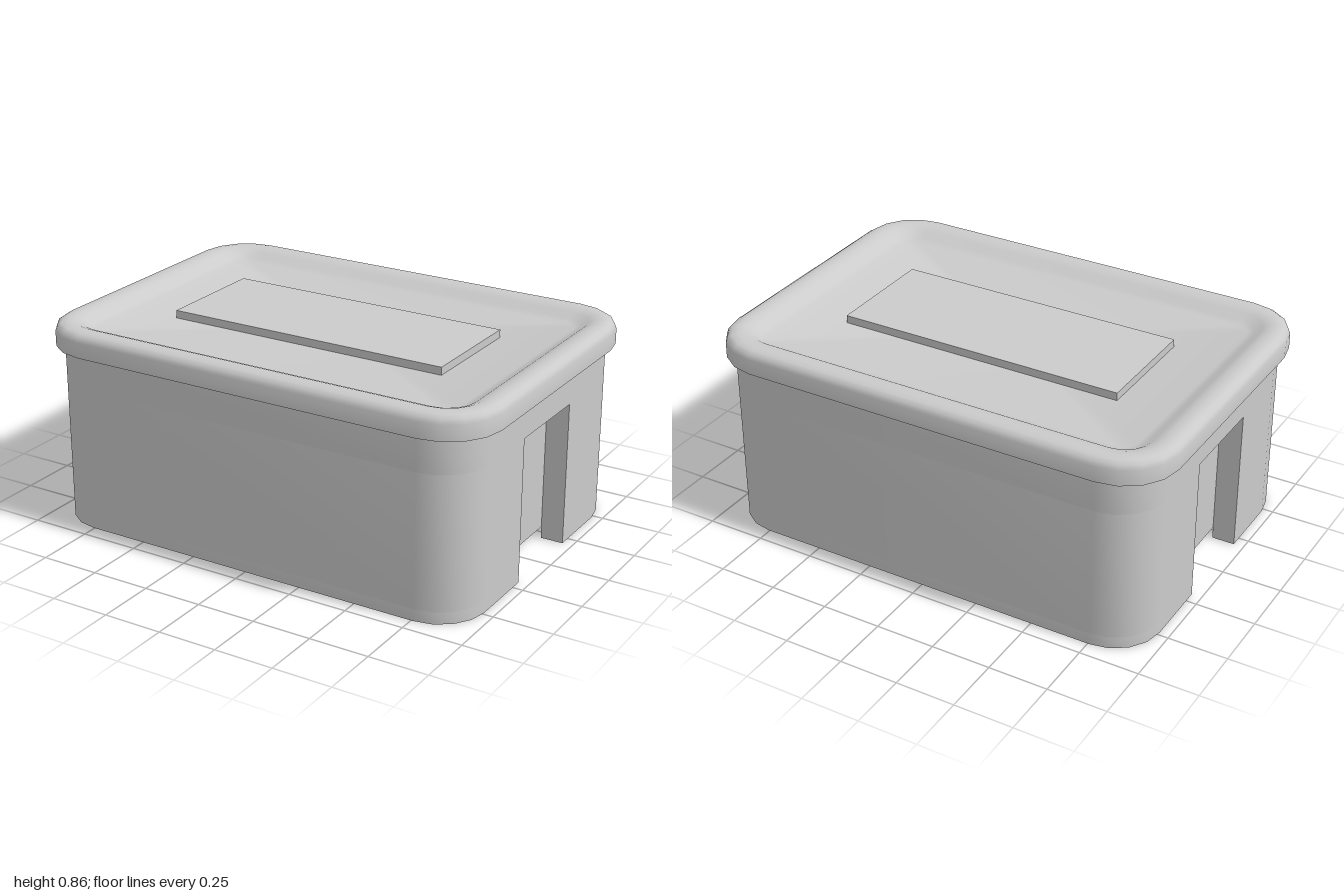
import * as THREE from 'three';
import { toCreasedNormals } from 'three/addons/utils/BufferGeometryUtils.js';

const SEG = 4;        // facets per rounded corner
const NOTCH = 0.2;    // half width of the end recesses
const BACK = 0.86;    // x of the recess back wall
const FLOOR = 0.05;   // height of the raised underside

// Quarter arc in plan, as [x, z] points
function arc(cx, cz, r, start) {
  return Array.from({ length: SEG + 1 }, (_, i) => {
    const a = start + (i / SEG) * Math.PI / 2;
    return [cx + r * Math.cos(a), cz + r * Math.sin(a)];
  });
}

// Far half of a rounded rectangle, from +x round to -x
const halfPlan = (hx, hz, r) => [
  ...arc(hx - r, hz - r, r, 0),
  ...arc(-hx + r, hz - r, r, Math.PI / 2),
];
const turn = (pts) => pts.map(([x, z]) => [-x, -z]);
const fullPlan = (hx, hz, r) => {
  const h = halfPlan(hx, hz, r);
  return [...h, ...turn(h)];
};

// Vertical slab from a plan outline
function slab(name, pts, y0, y1, material) {
  const shape = new THREE.Shape(pts.map(([x, z]) => new THREE.Vector2(x, z)));
  let geo = new THREE.ExtrudeGeometry(shape, { depth: y1 - y0, bevelEnabled: false });
  geo.rotateX(-Math.PI / 2).translate(0, y0, 0);
  const mesh = new THREE.Mesh(toCreasedNormals(geo, 0.7), material);
  mesh.name = name;
  return mesh;
}

// Closed solid from rounded rectangles stacked along a profile of [inset, y]
function loft(hx, hz, r, profile) {
  const pos = [], idx = [];
  const n = 4 * (SEG + 1);
  for (const [inset, y] of profile) {
    for (const [x, z] of fullPlan(hx - inset, hz - inset, Math.max(r - inset, 0.03))) pos.push(x, y, -z);
  }
  for (let k = 0; k < profile.length - 1; k++) {
    for (let i = 0; i < n; i++) {
      const a = k * n + i, b = k * n + (i + 1) % n;
      idx.push(a, b, b + n, a, b + n, a + n);
    }
  }
  // Flat caps
  const last = (profile.length - 1) * n;
  const c = pos.length / 3;
  pos.push(0, profile[0][1], 0, 0, profile[profile.length - 1][1], 0);
  for (let i = 0; i < n; i++) {
    const j = (i + 1) % n;
    idx.push(c, j, i, c + 1, last + i, last + j);
  }
  const geo = new THREE.BufferGeometry();
  geo.setAttribute('position', new THREE.Float32BufferAttribute(pos, 3));
  geo.setIndex(idx);
  return toCreasedNormals(geo, 0.75);
}

export function createModel() {
  const model = new THREE.Group();
  model.name = 'storageBox';
  const grey = new THREE.MeshStandardMaterial({ color: 0xcccccc });
  const HX = 0.957, HZ = 0.685, R = 0.2, T = 0.09;

  // Body with a recess in each end
  const side = [[HX, NOTCH], ...halfPlan(HX, HZ, R), [-HX, NOTCH]];
  const notched = [
    ...side, [-BACK, NOTCH], [-BACK, -NOTCH],
    ...turn(side), [BACK, -NOTCH], [BACK, NOTCH],
  ];
  const body = new THREE.Group();
  body.name = 'body';
  body.add(slab('lowerBody', notched, FLOOR, 0.61, grey));
  body.add(slab('upperBody', fullPlan(HX, HZ, R), 0.61, 0.757, grey));

  // Foot rims around the underside, broken at the recesses
  const inner = [[BACK, NOTCH], ...halfPlan(BACK, HZ - T, R - T), [-BACK, NOTCH]];
  const rim = [...side, ...inner.reverse()];
  body.add(slab('backFootRim', rim, 0, FLOOR, grey));
  body.add(slab('frontFootRim', turn(rim), 0, FLOOR, grey));
  model.add(body);

  // Lid with a rounded raised border and a sunken top
  const lid = new THREE.Group();
  lid.name = 'lid';
  const shell = new THREE.Mesh(loft(1, 0.71, 0.23, [
    [0.05, 0.755], [0, 0.755], [0, 0.82], [0.008, 0.84], [0.025, 0.851], [0.05, 0.855],
    [0.08, 0.853], [0.11, 0.842], [0.14, 0.822], [0.17, 0.812],
  ]), grey);
  shell.name = 'lidShell';
  lid.add(shell);

  // Raised centre panel
  const panel = new THREE.Mesh(new THREE.BoxGeometry(1.24, 0.045, 0.49), grey);
  panel.position.y = 0.8225;
  panel.name = 'lidPanel';
  lid.add(panel);
  model.add(lid);
  return model;
}
